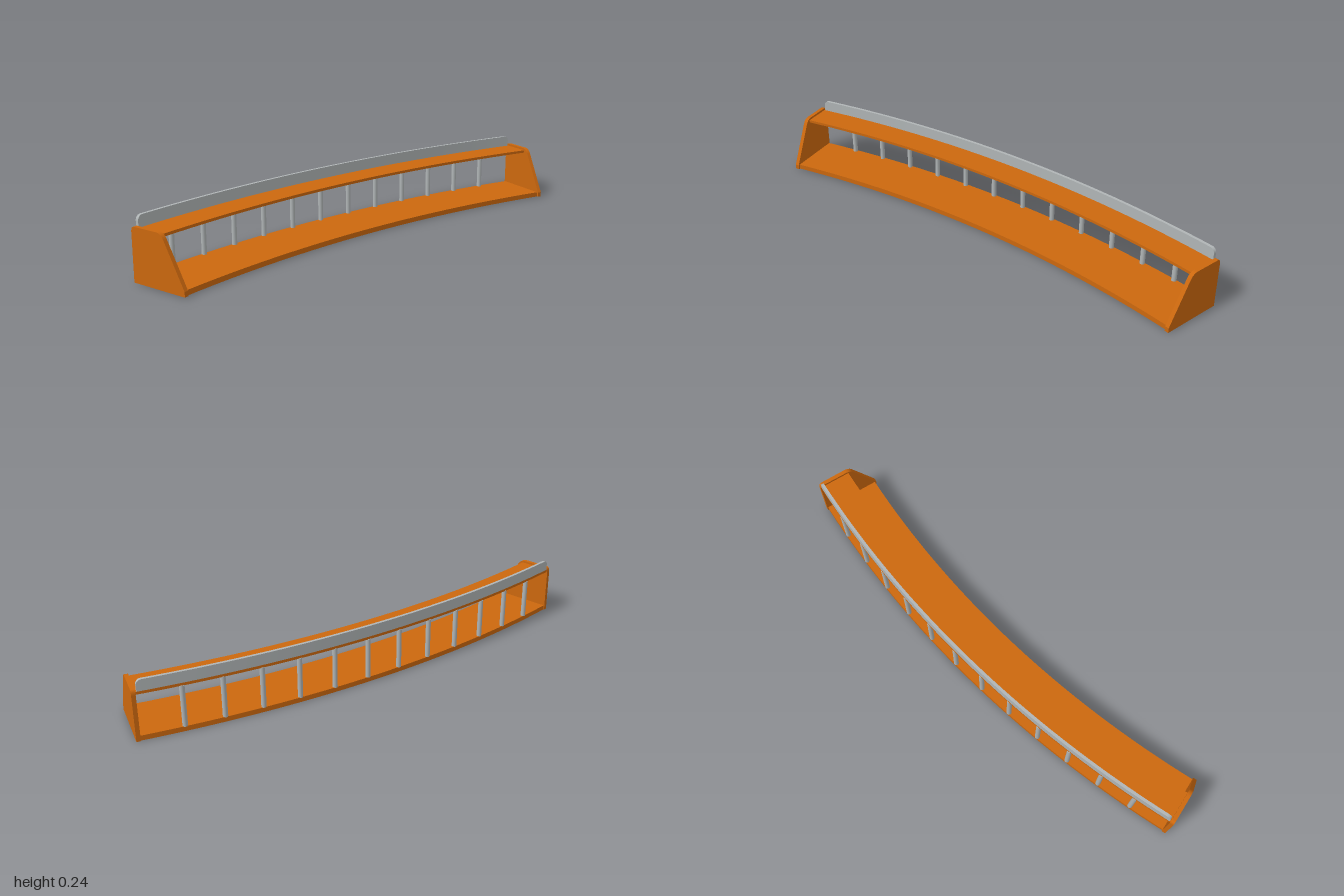
import * as THREE from 'three';

const CENTRE_Z = 4.46;   // centre of the arc the counter follows
const BACK = 4.63;       // radius of the back edge
const HALF = 0.2142;     // half of the arc's angle

const orange = new THREE.MeshStandardMaterial({ color: 0xcc680e });
orange.name = 'orange panel';
const metal = new THREE.MeshStandardMaterial({ color: 0xb0b5b6 });
metal.name = 'grey metal';

const onArc = (r, a) => [r * Math.sin(a), CENTRE_Z - r * Math.cos(a)];

// A box bent along the arc; corner rounds its two upper ends
function bentBar(name, material, r0, r1, y0, y1, half, corner = 0) {
  const geo = new THREE.BoxGeometry(2, 1, 1, 60, 1, 1);
  const p = geo.attributes.position;
  const cornerAngle = corner / r1;
  for (let i = 0; i < p.count; i++) {
    const u = p.getX(i);
    let a = u * half, top = y1;
    if (corner) {
      // the last six segments at each end form the rounded corner
      const k = Math.max(0, (Math.abs(u) - 0.8) / 0.2) * Math.PI / 2;
      const flat = half - cornerAngle;
      a = Math.sign(u) * (Math.min(Math.abs(u) / 0.8, 1) * flat + Math.sin(k) * cornerAngle);
      top = y1 - corner * (1 - Math.cos(k));
    }
    const [x, z] = onArc(p.getZ(i) < 0 ? r1 : r0, a);
    p.setXYZ(i, x, p.getY(i) < 0 ? y0 : top, z);
  }
  geo.computeVertexNormals();
  const mesh = new THREE.Mesh(geo, material);
  mesh.name = name;
  return mesh;
}

// End panel with a sloping front, outline drawn from back to front
function endPanel(side) {
  const t = 0.016;
  const s = new THREE.Shape();
  s.moveTo(0, 0);
  s.lineTo(0.246, 0);
  s.lineTo(0.246, 0.02);
  s.lineTo(0.158, 0.182);
  s.quadraticCurveTo(0.146, 0.205, 0.122, 0.205);
  s.lineTo(0.016, 0.205);
  s.quadraticCurveTo(0.002, 0.205, 0.001, 0.186);
  s.closePath();
  const geo = new THREE.ExtrudeGeometry(s, { depth: t, bevelEnabled: false, curveSegments: 8 });
  geo.rotateY(-Math.PI / 2);
  if (side > 0) geo.translate(t, 0, 0);
  const mesh = new THREE.Mesh(geo, orange);
  const [x, z] = onArc(BACK + 0.004, side * HALF);
  mesh.position.set(x, 0, z);
  mesh.rotation.y = -side * HALF;
  mesh.name = side > 0 ? 'leftEndPanel' : 'rightEndPanel';
  return mesh;
}

export function createModel() {
  const model = new THREE.Group();
  model.name = 'curvedCounter';

  model.add(bentBar('baseShelf', orange, 4.395, BACK, 0, 0.02, HALF));
  model.add(bentBar('topShelf', orange, 4.5, BACK, 0.185, 0.196, HALF));
  model.add(bentBar('backRail', metal, 4.618, BACK, 0.196, 0.241, 0.2133, 0.02));
  model.add(endPanel(1), endPanel(-1));

  // Twelve posts between the shelves
  const postGeo = new THREE.CylinderGeometry(0.01, 0.01, 0.167, 16);
  const posts = new THREE.Group();
  posts.name = 'posts';
  for (let i = 0; i < 12; i++) {
    const [x, z] = onArc(4.623, (i - 5.5) * 0.0327 - 0.001);
    const post = new THREE.Mesh(postGeo, metal);
    post.position.set(x, 0.1025, z);
    post.name = 'post';
    posts.add(post);
  }
  model.add(posts);
  return model;
}
